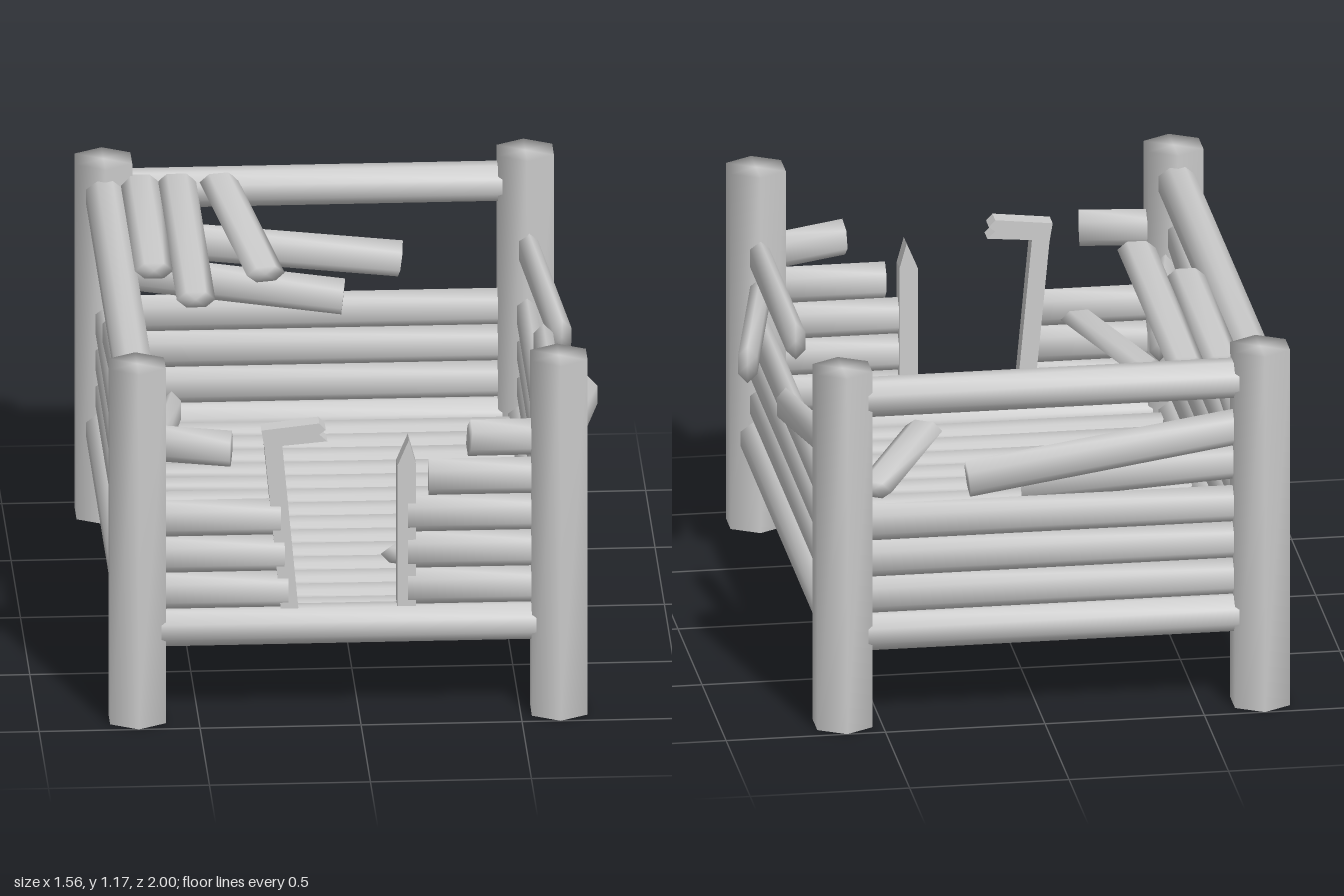
import * as THREE from 'three';
import { mergeVertices } from 'three/addons/utils/BufferGeometryUtils.js';

const material = new THREE.MeshStandardMaterial({ color: 0xcccccc });
const UP = new THREE.Vector3(0, 1, 0);
const SIDE = new THREE.Vector3(1, 0, 0);
const LEFT = 0.62, RIGHT = -0.69, FRONT = 0.9, BACK = -0.9;

// Weld side and caps so the shading runs softly over the ends
function soften(geometry) {
  geometry.deleteAttribute('uv');
  geometry.deleteAttribute('normal');
  const welded = mergeVertices(geometry);
  welded.computeVertexNormals();
  return welded;
}

export function createModel() {
  const group = new THREE.Group();

  function add(name, geometry) {
    const mesh = new THREE.Mesh(geometry, material);
    mesh.name = name;
    group.add(mesh);
    return mesh;
  }

  // Prism from a to b; its wide cross axis follows the given direction
  function beam(name, a, b, wide, geometryOf) {
    const start = new THREE.Vector3(...a), end = new THREE.Vector3(...b);
    const y = end.clone().sub(start);
    const geometry = geometryOf(y.length());
    y.normalize();
    const x = y.clone().cross(wide).normalize();
    const z = x.clone().cross(y);
    const mesh = add(name, soften(geometry));
    mesh.quaternion.setFromRotationMatrix(new THREE.Matrix4().makeBasis(x, y, z));
    mesh.position.copy(start).lerp(end, 0.5);
  }

  // Flattened six-sided plank
  const plank = (name, a, b, wide = UP, thickness = 0.06) =>
    beam(name, a, b, wide, (length) =>
      new THREE.CylinderGeometry(0.06, 0.06, length, 6).scale(thickness / 0.104, 1, 1));

  // Thick eight-sided rail
  const rail = (name, a, b) =>
    beam(name, a, b, UP, (length) =>
      new THREE.CylinderGeometry(0.0625, 0.0625, length, 8).rotateY(Math.PI / 8));

  // Corner posts
  for (const x of [LEFT, RIGHT]) {
    for (const z of [FRONT, BACK]) {
      const post = add('cornerPost', soften(new THREE.CylinderGeometry(0.1, 0.1, 1.175, 6)));
      post.position.set(x, 1.175 / 2, z);
    }
  }

  // Bottom rails all round, top rails on two sides only
  for (const z of [FRONT, BACK]) rail('bottomRail', [RIGHT, 0.303, z], [LEFT, 0.303, z]);
  for (const x of [LEFT, RIGHT]) rail('bottomRail', [x, 0.303, BACK], [x, 0.303, FRONT]);
  rail('backTopRail', [RIGHT, 1.075, BACK], [LEFT, 1.075, BACK]);
  rail('rightTopRail', [RIGHT, 1.075, BACK], [RIGHT, 1.075, FRONT]);

  // Floor slats
  const slats = 14, pitch = 1.66 / slats;
  for (let i = 0; i < slats; i++) {
    const z = -0.83 + (i + 0.5) * pitch;
    plank('floorSlat', [RIGHT, 0.305, z], [LEFT, 0.305, z], new THREE.Vector3(0, 0, 1), 0.05);
  }

  // Intact wall planks, with a doorway in the front wall
  for (const y of [0.42, 0.54, 0.66]) {
    const jambX = -0.215 - (y - 0.36) * 0.1;
    plank('leftWallPlank', [LEFT, y, BACK], [LEFT, y, FRONT]);
    plank('rightWallPlank', [RIGHT, y, BACK], [RIGHT, y, FRONT]);
    plank('backWallPlank', [RIGHT, y, BACK], [LEFT, y, BACK]);
    plank('frontWallPlank', [RIGHT, y, FRONT], [jambX, y, FRONT]);
    plank('frontWallPlank', [0.15, y, FRONT], [LEFT, y, FRONT]);
  }

  // Broken upper planks
  const broken = [
    ['brokenBackPlank', [-0.66, 0.92, -0.9], [0.235, 0.805, -0.95]],
    ['brokenBackPlank', [-0.66, 0.805, -0.9], [0.05, 0.732, -0.82]],
    ['brokenRightPlank', [-0.69, 0.9, 0.85], [-0.69, 0.775, -0.43]],
    ['brokenRightPlank', [-0.66, 0.785, 0.86], [-0.545, 0.77, 0.24]],
    ['brokenLeftPlank', [0.62, 0.905, 0.86], [0.62, 0.905, 0.07]],
    ['brokenLeftPlank', [0.61, 0.782, 0.86], [0.75, 0.782, 0.21]],
    ['brokenLeftPlank', [0.62, 0.88, -0.86], [0.695, 0.805, -0.23]],
    ['brokenFrontPlank', [-0.66, 0.91, 0.89], [-0.4, 0.902, 0.94]],
    ['brokenFrontPlank', [0.58, 0.9, 0.88], [0.34, 0.918, 0.93]],
    ['brokenFrontPlank', [0.6, 0.78, 0.9], [0.215, 0.78, 0.9]],
  ];
  for (const [name, a, b] of broken) plank(name, a, b);

  // Roof slats left on the back rail, the last one sagging
  plank('roofSlat', [-0.58, 1.11, -0.86], [-0.58, 1.11, -0.08], SIDE, 0.05);
  plank('roofSlat', [-0.465, 1.11, -0.86], [-0.465, 1.11, 0.18], SIDE, 0.05);
  plank('saggingRoofSlat', [-0.335, 1.11, -0.86], [-0.225, 1.04, -0.215], SIDE, 0.05);

  // Planks fallen on the floor
  plank('fallenPlank', [0.37, 0.43, 0.83], [0.505, 0.36, 0.06], SIDE, 0.05);
  plank('fallenPlank', [0.14, 0.4, 0.585], [0.365, 0.37, 0.15], SIDE, 0.05);

  // Splintered door frame
  const outlines = {
    leaningDoorJamb: [[-0.245, 0.36], [-0.19, 0.36], [-0.24, 0.9], [-0.1, 0.912],
      [-0.125, 0.935], [-0.105, 0.95], [-0.125, 0.972], [-0.305, 0.952], [-0.295, 0.89]],
    splitDoorJamb: [[0.117, 0.36], [0.175, 0.36], [0.175, 0.83], [0.153, 0.91], [0.117, 0.825]],
  };
  for (const [name, points] of Object.entries(outlines)) {
    const shape = new THREE.Shape(points.map(([x, y]) => new THREE.Vector2(x, y)));
    const jamb = add(name, new THREE.ExtrudeGeometry(shape, { depth: 0.06, bevelEnabled: false }));
    jamb.position.z = 0.86;
  }

  return group;
}
